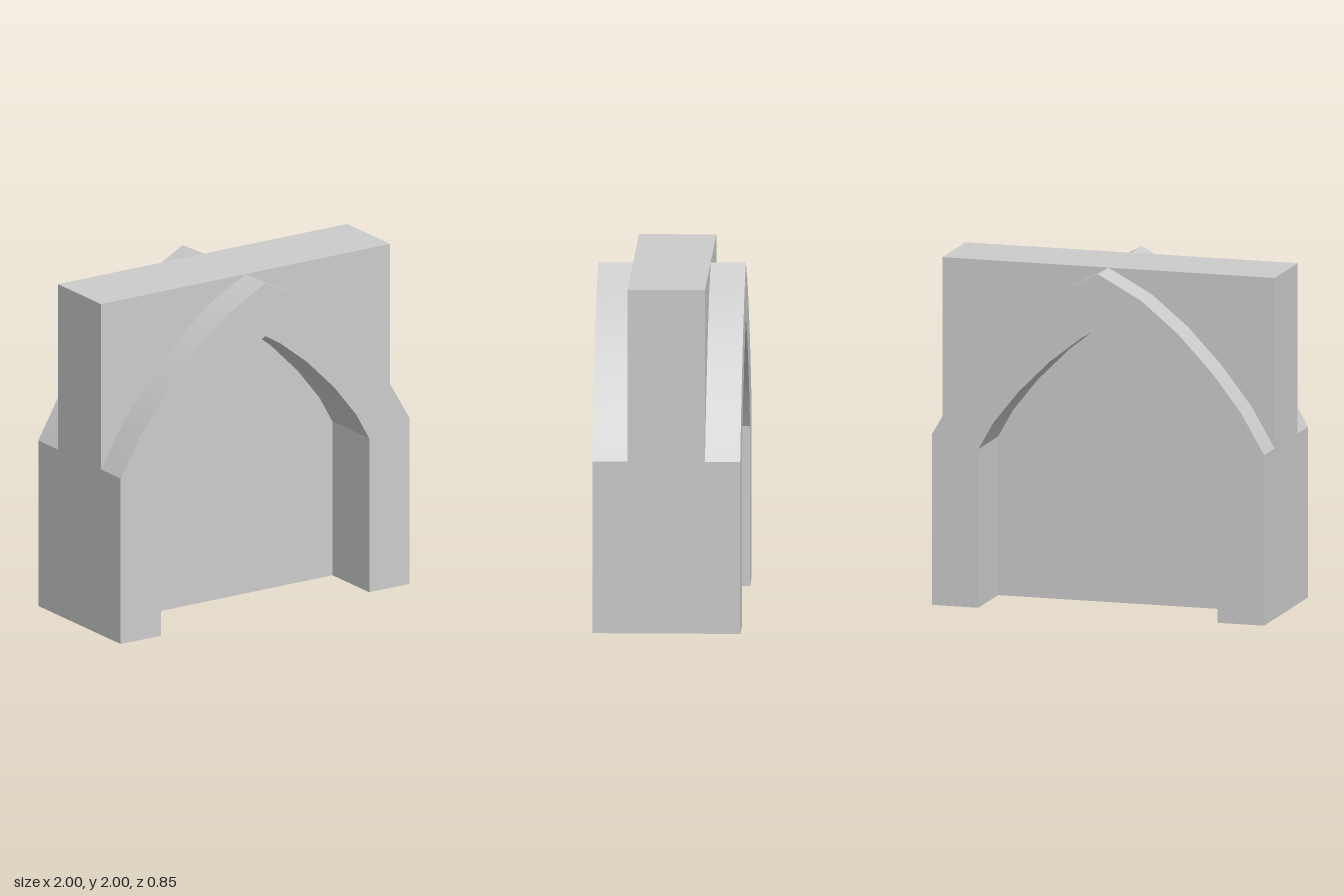
import * as THREE from 'three';
import { toCreasedNormals } from 'three/addons/utils/BufferGeometryUtils.js';

const material = new THREE.MeshStandardMaterial({ color: 0xcccccc });

// Right halves of the pointed curves, from springing to apex
const outer = [[1, 1], [0.86, 1.24], [0.68, 1.47], [0.48, 1.68], [0.26, 1.86], [0, 2]];
const inner = [[0.72, 0], [0.72, 0.93], [0.63, 1.09], [0.48, 1.28], [0.29, 1.47], [0.1, 1.62], [0, 1.68]];

const mirror = (points) => points.map(([x, y]) => [-x, y]).reverse();
const fullCurve = (half) => [...half, ...mirror(half).slice(1)];

// Extrude an outline, centred on z = 0
function slab(name, points, depth) {
  const shape = new THREE.Shape(points.map(([x, y]) => new THREE.Vector2(x, y)));
  const geometry = new THREE.ExtrudeGeometry(shape, { depth, bevelEnabled: false });
  geometry.translate(0, 0, -depth / 2);
  const mesh = new THREE.Mesh(toCreasedNormals(geometry, 0.35), material);
  mesh.name = name;
  return mesh;
}

export function createModel() {
  const group = new THREE.Group();
  group.name = 'archedWall';

  // Full-depth pointed arch with its two legs
  const archOutline = [[1, 0], ...fullCurve(outer), [-1, 0], ...fullCurve(inner).reverse()];
  group.add(slab('arch', archOutline, 0.85));

  // Wall filling the corners above the arch
  const corner = [...outer, [1, 2]];
  corner.splice(outer.length - 1, 1, [0, 2]);
  group.add(slab('leftSpandrel', [...corner].reverse(), 0.445));
  group.add(slab('rightSpandrel', mirror(corner), 0.445));

  // Thin panel closing the opening
  group.add(slab('recessedPanel', fullCurve(inner), 0.09));

  return group;
}
